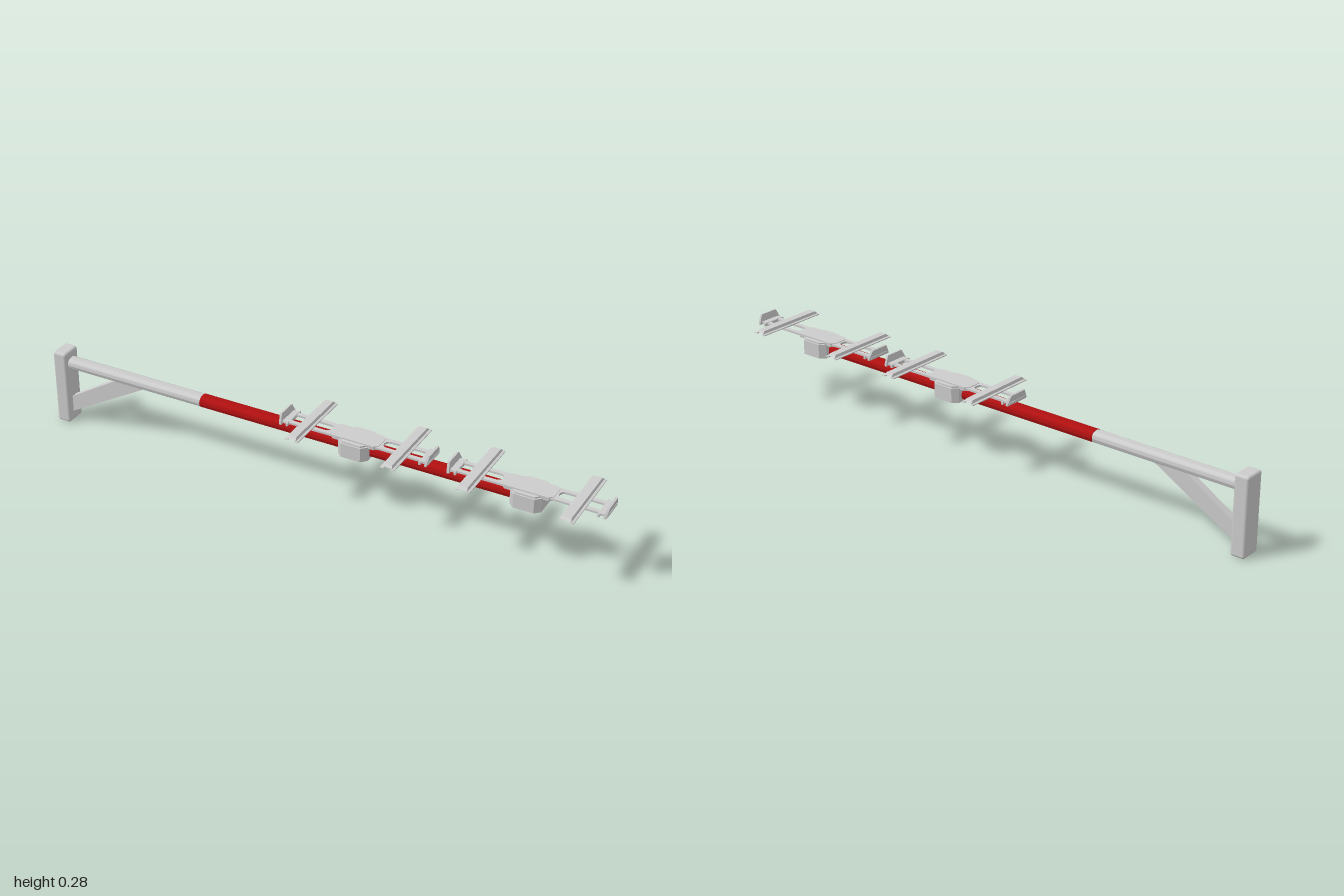
import * as THREE from 'three';
import { RoundedBoxGeometry } from 'three/addons/geometries/RoundedBoxGeometry.js';
import { toCreasedNormals } from 'three/addons/utils/BufferGeometryUtils.js';

const grey = new THREE.MeshStandardMaterial({ color: 0xcccccc, side: THREE.DoubleSide });
const red = new THREE.MeshStandardMaterial({ color: 0xb01010, side: THREE.DoubleSide });

const poly = (pts) => new THREE.Shape(pts.map(([x, y]) => new THREE.Vector2(x, y)));

function add(parent, name, geo, mat = grey, x = 0, y = 0, z = 0) {
  const mesh = new THREE.Mesh(geo, mat);
  mesh.name = name;
  mesh.position.set(x, y, z);
  parent.add(mesh);
  return mesh;
}

// Extrudes an (x, y) outline symmetrically along z
function extrudeZ(shape, width) {
  return new THREE.ExtrudeGeometry(shape, { depth: width, bevelEnabled: false, curveSegments: 8 })
    .translate(0, 0, -width / 2);
}

// Extrudes a (z, y) section along x, from x0 to x1
function extrudeX(shape, x0, x1) {
  const geo = new THREE.ExtrudeGeometry(shape, { depth: x1 - x0, bevelEnabled: false, curveSegments: 10 })
    .rotateY(Math.PI / 2).translate(x0, 0, 0);
  return toCreasedNormals(geo, 0.6);
}

// Extrudes a plan (x, z) outline upward
function extrudeY(shape, y0, y1) {
  return new THREE.ExtrudeGeometry(shape, { depth: y1 - y0, bevelEnabled: false, curveSegments: 6 })
    .rotateX(-Math.PI / 2).translate(0, y0, 0);
}

// Rectangle outline with cut corners
function cutRect(w, h, c) {
  return poly([[-w + c, -h], [w - c, -h], [w, -h + c], [w, h - c],
    [w - c, h], [-w + c, h], [-w, h - c], [-w, -h + c]]);
}

// Flat-bottomed oval boom section
function boomSection() {
  const s = new THREE.Shape();
  s.moveTo(-0.016, 0.207);
  s.lineTo(0.016, 0.207);
  s.quadraticCurveTo(0.024, 0.209, 0.024, 0.222);
  s.bezierCurveTo(0.024, 0.236, 0.014, 0.242, 0, 0.242);
  s.bezierCurveTo(-0.014, 0.242, -0.024, 0.236, -0.024, 0.222);
  s.quadraticCurveTo(-0.024, 0.209, -0.016, 0.207);
  return s;
}

// Red cover wrapping the top and sides, open underneath
function coverSection() {
  const s = new THREE.Shape();
  s.moveTo(0.015, 0.2065);
  s.quadraticCurveTo(0.025, 0.208, 0.025, 0.222);
  s.bezierCurveTo(0.025, 0.237, 0.014, 0.243, 0, 0.243);
  s.bezierCurveTo(-0.014, 0.243, -0.025, 0.237, -0.025, 0.222);
  s.quadraticCurveTo(-0.025, 0.208, -0.015, 0.2065);
  s.lineTo(-0.015, 0.208);
  s.bezierCurveTo(-0.023, 0.21, -0.023, 0.24, 0, 0.24);
  s.bezierCurveTo(0.023, 0.24, 0.023, 0.21, 0.015, 0.208);
  return s;
}

// Shallow hat-profile cross arm with ends sloping down
function crossArm() {
  const arm = new THREE.Group();
  arm.name = 'crossArm';
  const hat = poly([[-0.024, 0.26], [-0.013, 0.26], [-0.01, 0.266], [0.01, 0.266], [0.013, 0.26],
    [0.024, 0.26], [0.024, 0.263], [0.016, 0.264], [0.013, 0.273], [-0.013, 0.273],
    [-0.016, 0.264], [-0.024, 0.263]]);
  const geo = extrudeZ(hat, 0.266);
  // Pull the upper edge inward at both ends
  const p = geo.attributes.position;
  for (let i = 0; i < p.count; i++) {
    const z = p.getZ(i);
    p.setZ(i, z - Math.sign(z) * Math.max(0, p.getY(i) - 0.264) * 1.2);
  }
  geo.computeVertexNormals();
  add(arm, 'armChannel', geo);
  add(arm, 'armSpacer', new THREE.BoxGeometry(0.026, 0.013, 0.05), grey, 0, 0.2595, 0);
  return arm;
}

// Upturned stop at the end of a carrier plate, facing +x
function endStop() {
  const stop = new THREE.Group();
  stop.name = 'endStop';
  add(stop, 'stopFoot', new THREE.BoxGeometry(0.03, 0.007, 0.076), grey, 0.248, 0.2545, 0);
  const flap = poly([[-0.047, 0], [0.047, 0], [0.047, 0.006], [0.033, 0.034], [-0.033, 0.034], [-0.047, 0.006]]);
  const geo = extrudeX(flap, -0.004, 0.004);
  const lip = add(stop, 'stopLip', geo, grey, 0.256, 0.248, 0);
  lip.rotation.z = -0.15;
  add(stop, 'stopRib', new THREE.BoxGeometry(0.007, 0.01, 0.088), grey, 0.235, 0.252, 0);
  return stop;
}

// Complete carrier: clamp, slotted plate, two arms and two stops
function carrier(x) {
  const g = new THREE.Group();
  g.name = 'carrier';
  g.position.x = x;
  add(g, 'clampBlock', extrudeY(cutRect(0.0525, 0.055, 0.018), 0.2, 0.25));
  add(g, 'clampCap', extrudeY(cutRect(0.05, 0.05, 0.018), 0.25, 0.255));
  add(g, 'saddle', extrudeY(cutRect(0.085, 0.036, 0.012), 0.246, 0.259));

  const plate = poly([[-0.262, -0.033], [0.262, -0.033], [0.262, 0.033], [-0.262, 0.033]]);
  for (const s of [-1, 1]) {
    const slot = new THREE.Path();
    const a = 0.11, b = 0.222, r = 0.018;
    slot.moveTo(s * a, -r);
    slot.lineTo(s * b, -r);
    slot.quadraticCurveTo(s * (b + r), -r, s * (b + r), 0);
    slot.quadraticCurveTo(s * (b + r), r, s * b, r);
    slot.lineTo(s * a, r);
    slot.quadraticCurveTo(s * (a - r), r, s * (a - r), 0);
    slot.quadraticCurveTo(s * (a - r), -r, s * a, -r);
    plate.holes.push(slot);
    const arm = crossArm();
    arm.position.x = s * 0.168;
    g.add(arm);
    const stop = endStop();
    stop.rotation.y = s < 0 ? Math.PI : 0;
    g.add(stop);
  }
  add(g, 'slottedPlate', extrudeY(plate, 0.25, 0.257));
  return g;
}

export function createModel() {
  const model = new THREE.Group();
  model.name = 'wallArm';

  // Upright post and diagonal brace
  add(model, 'post', new RoundedBoxGeometry(0.05, 0.268, 0.075, 3, 0.009), grey, -0.975, 0.134, 0);
  const brace = poly([[-0.96, 0.03], [-0.65, 0.208], [-0.765, 0.208], [-0.96, 0.088]]);
  add(model, 'brace', extrudeZ(brace, 0.025));

  // Boom with its red cover
  add(model, 'boom', extrudeX(boomSection(), -0.96, 0.73));
  add(model, 'boomCover', extrudeX(coverSection(), -0.43, 0.7), red);

  for (const x of [0.143, 0.733]) model.add(carrier(x));
  return model;
}
